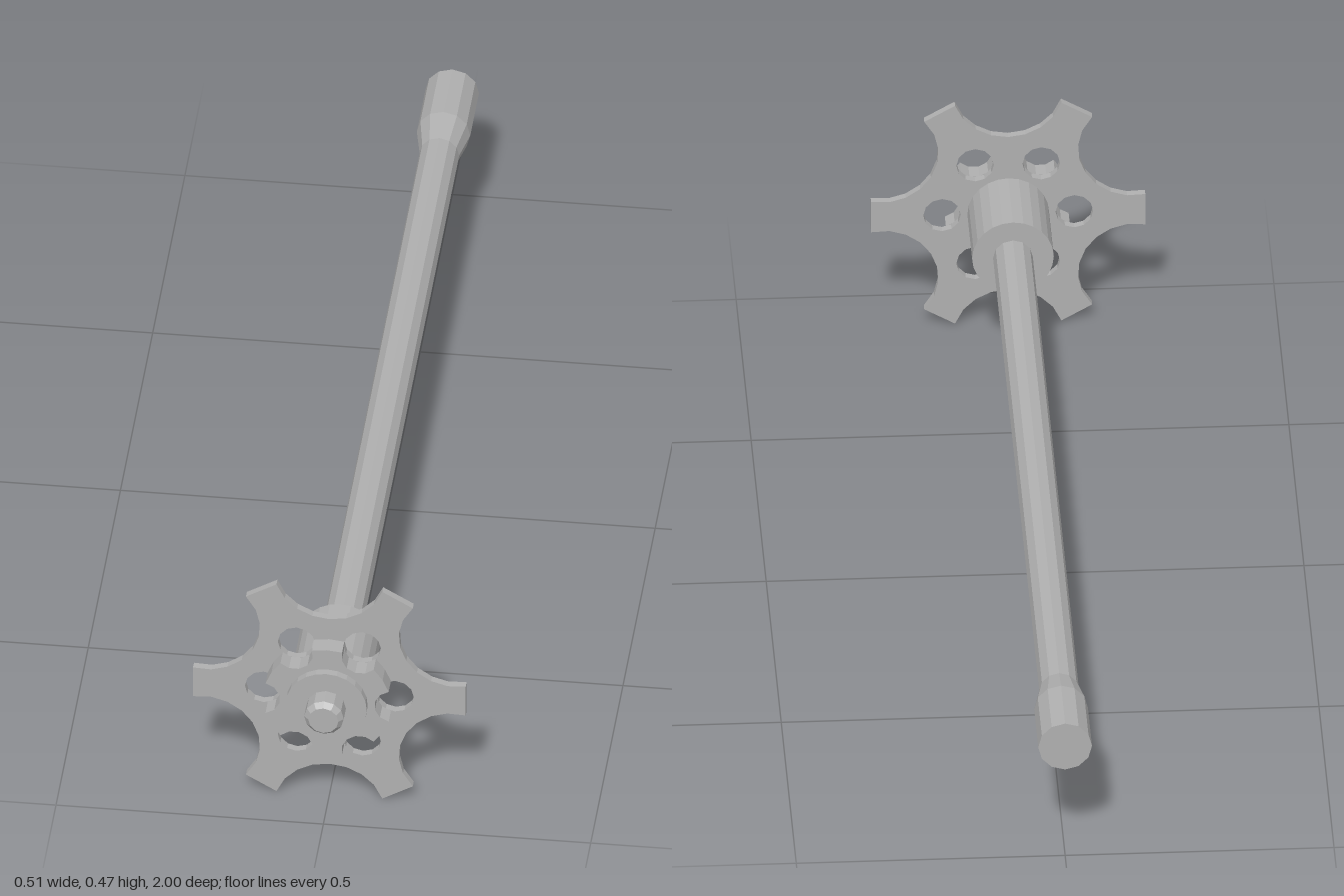
import * as THREE from 'three';

const AXIS_Y = 0.238, HOLE_RING = 0.123, HOLE_R = 0.035;
const rad = THREE.MathUtils.degToRad;

// Point at an angle (degrees) on a circle about (cx, cy)
const polar = (r, deg, cx = 0, cy = 0) =>
  new THREE.Vector2(cx + r * Math.cos(rad(deg)), cy + r * Math.sin(rad(deg)));

// Points along an arc, both ends included
function arc(r, from, to, steps, centre = new THREE.Vector2()) {
  return Array.from({ length: steps + 1 }, (_, i) =>
    polar(r, from + (to - from) * i / steps, centre.x, centre.y));
}

// Faceted solid of revolution along z, profile given as [radius, z] from back to front
function turned(profile, sides) {
  const lathe = new THREE.LatheGeometry(profile.map(p => new THREE.Vector2(...p)), sides);
  lathe.rotateX(Math.PI / 2);
  const flat = lathe.toNonIndexed();
  flat.computeVertexNormals();
  return flat;
}

function slab(shape, back, front) {
  const geo = new THREE.ExtrudeGeometry(shape, { depth: front - back, bevelEnabled: false });
  return geo.translate(0, 0, back);
}

export function createModel() {
  const model = new THREE.Group();
  model.name = 'spokedWheelShaft';
  const steel = new THREE.MeshStandardMaterial({ color: 0xb0b0b0 });
  steel.name = 'grey steel';

  const add = (name, geometry) => {
    const mesh = new THREE.Mesh(geometry, steel);
    mesh.name = name;
    mesh.position.y = AXIS_Y;
    model.add(mesh);
  };

  // Long shaft with flared rear end and chamfered nose
  add('shaft', turned([
    [0, -1], [0.05, -1], [0.05, -0.865], [0.037, -0.8],
    [0.037, 0.99], [0.028, 1], [0, 1],
  ], 12));

  // Round hub through the wheel
  add('hub', turned([[0, 0.735], [0.076, 0.735], [0.076, 0.957], [0, 0.957]], 24));

  // Six-armed wheel plate: arm tips joined by concave scallops
  const outline = [];
  for (let k = 0; k < 6; k++) {
    const a = k * 60;
    const tip = new THREE.Vector2(0.255, -0.033).rotateAround(new THREE.Vector2(), rad(a));
    outline.push(tip);
    const scallop = arc(0.105, a + 30 - 110, a + 30 - 250, 8, polar(0.271, a + 30));
    const start = new THREE.Vector2(0.255, 0.033).rotateAround(new THREE.Vector2(), rad(a));
    outline.push(start, ...scallop.slice(1, -1));
  }
  const plate = new THREE.Shape(outline);
  for (let k = 0; k < 6; k++) {
    plate.holes.push(new THREE.Path(arc(HOLE_R, 0, 330, 11, polar(HOLE_RING, k * 60))));
  }
  add('wheelPlate', slab(plate, 0.892, 0.907));

  // Front boss, notched where the wheel holes pass it
  const notched = [];
  for (let k = 0; k < 6; k++) {
    const a = k * 60;
    notched.push(...arc(HOLE_R, a + 257, a + 103, 5, polar(HOLE_RING, a)));
    notched.push(...arc(0.12, a + 16.5, a + 43.5, 2).slice(1, -1));
  }
  add('notchedBoss', slab(new THREE.Shape(notched), 0.907, 0.942));

  return model;
}
